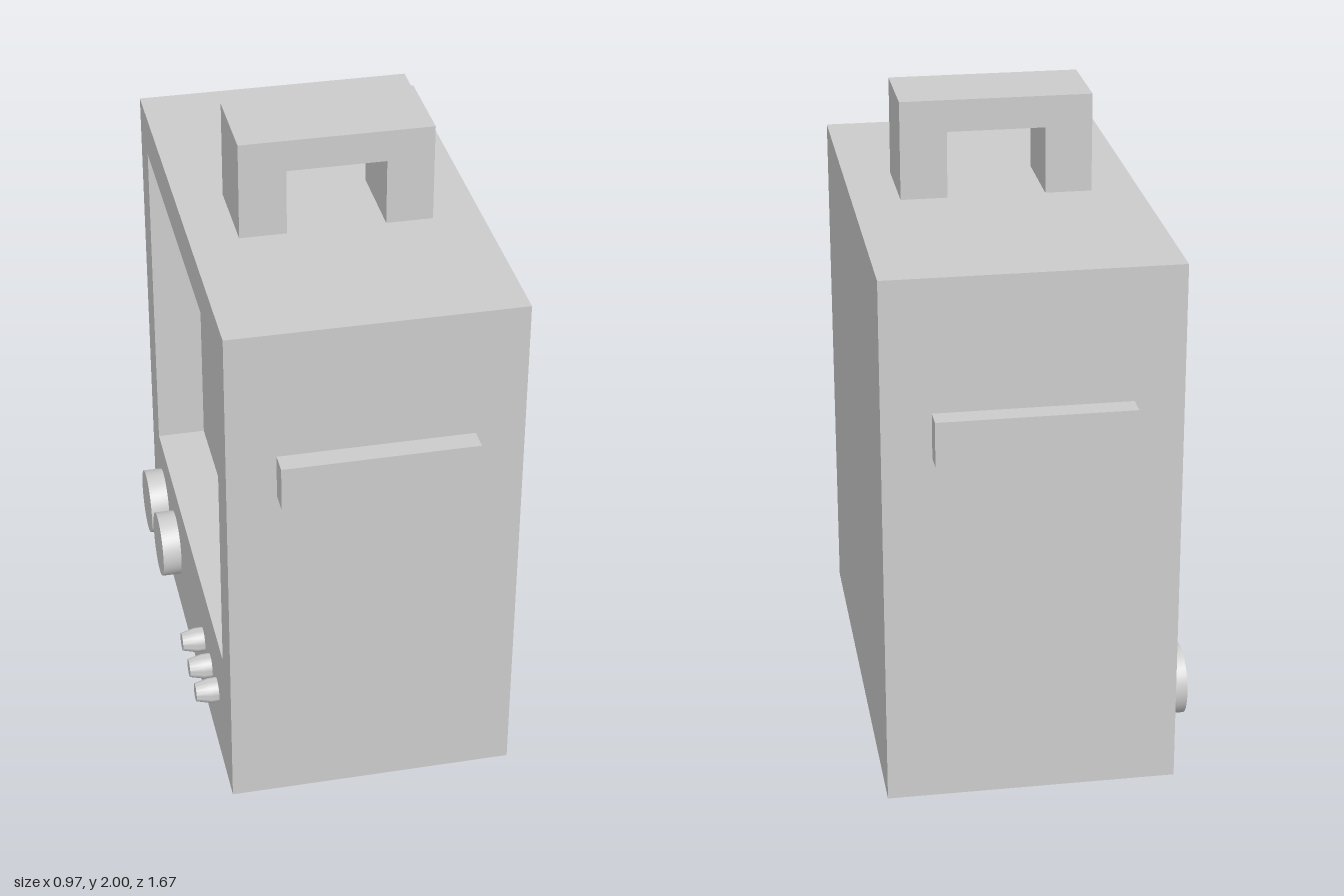
import * as THREE from 'three';
import { toCreasedNormals } from 'three/addons/utils/BufferGeometryUtils.js';

const grey = new THREE.MeshStandardMaterial({ color: 0xcccccc });

// Main dimensions
const LEFT = 0.48, RIGHT = -0.415, HEIGHT = 1.69, HALF_Z = 0.765;
const SCREEN_DEPTH = 0.16, KNOB_Y = 0.22;
const GRIP_MIN = -0.265, GRIP_MAX = 0.33;

export function createModel() {
  const model = new THREE.Group();
  model.name = 'portableMonitor';

  const add = (name, geometry) => {
    const mesh = new THREE.Mesh(geometry, grey);
    mesh.name = name;
    model.add(mesh);
    return mesh;
  };

  // Box given by its minimum and maximum corners
  const addBox = (name, [x0, y0, z0], [x1, y1, z1]) =>
    add(name, new THREE.BoxGeometry(x1 - x0, y1 - y0, z1 - z0))
      .position.set((x0 + x1) / 2, (y0 + y1) / 2, (z0 + z1) / 2);

  const polygon = (type, pairs) => new type(pairs.map(([x, y]) => new THREE.Vector2(x, y)));

  // Solid cabinet; its right side is the recessed screen
  const screenX = RIGHT + SCREEN_DEPTH;
  addBox('cabinet', [screenX, 0, -HALF_Z], [LEFT, HEIGHT, HALF_Z]);

  // Control panel and deep frame around the screen
  const panel = polygon(THREE.Shape, [[-HALF_Z, 0], [HALF_Z, 0], [HALF_Z, HEIGHT], [-HALF_Z, HEIGHT]]);
  panel.holes.push(polygon(THREE.Path, [[-0.63, 0.437], [-0.63, 1.553], [0.63, 1.553], [0.63, 0.437]]));
  const panelGeometry = new THREE.ExtrudeGeometry(panel, { depth: SCREEN_DEPTH, bevelEnabled: false });
  add('screenFrame', panelGeometry.rotateY(-Math.PI / 2)).position.x = screenX;

  // Carrying handle, an arch cut from one block
  const arch = polygon(THREE.Shape, [
    [GRIP_MIN, HEIGHT], [-0.12, HEIGHT], [-0.12, 1.9], [0.185, 1.9],
    [0.185, HEIGHT], [GRIP_MAX, HEIGHT], [GRIP_MAX, 2], [GRIP_MIN, 2],
  ]);
  const handle = new THREE.ExtrudeGeometry(arch, { depth: 0.277, bevelEnabled: false });
  add('carryHandle', handle).position.z = -0.066;

  // Grip ledges on the front and back
  addBox('frontLedge', [GRIP_MIN, 1.135, HALF_Z], [GRIP_MAX, 1.275, 0.833]);
  addBox('backLedge', [GRIP_MIN, 1.135, -0.833], [GRIP_MAX, 1.275, -HALF_Z]);

  // Round controls, turned so they point out of the panel
  const addKnob = (name, profile, z) => {
    const lathe = new THREE.LatheGeometry(profile.map(([r, h]) => new THREE.Vector2(r, h)), 32);
    add(name, toCreasedNormals(lathe.rotateZ(Math.PI / 2), 0.6)).position.set(RIGHT, KNOB_Y, z);
  };
  const dial = [[0.11, 0], [0.11, 0.062], [0, 0.062]];
  const button = [[0.04, 0], [0.04, 0.027], [0.029, 0.071], [0, 0.071]];
  [-0.55, -0.292].forEach((z, i) => addKnob(`dial${i + 1}`, dial, z));
  [0.25, 0.387, 0.51].forEach((z, i) => addKnob(`smallKnob${i + 1}`, button, z));

  return model;
}
